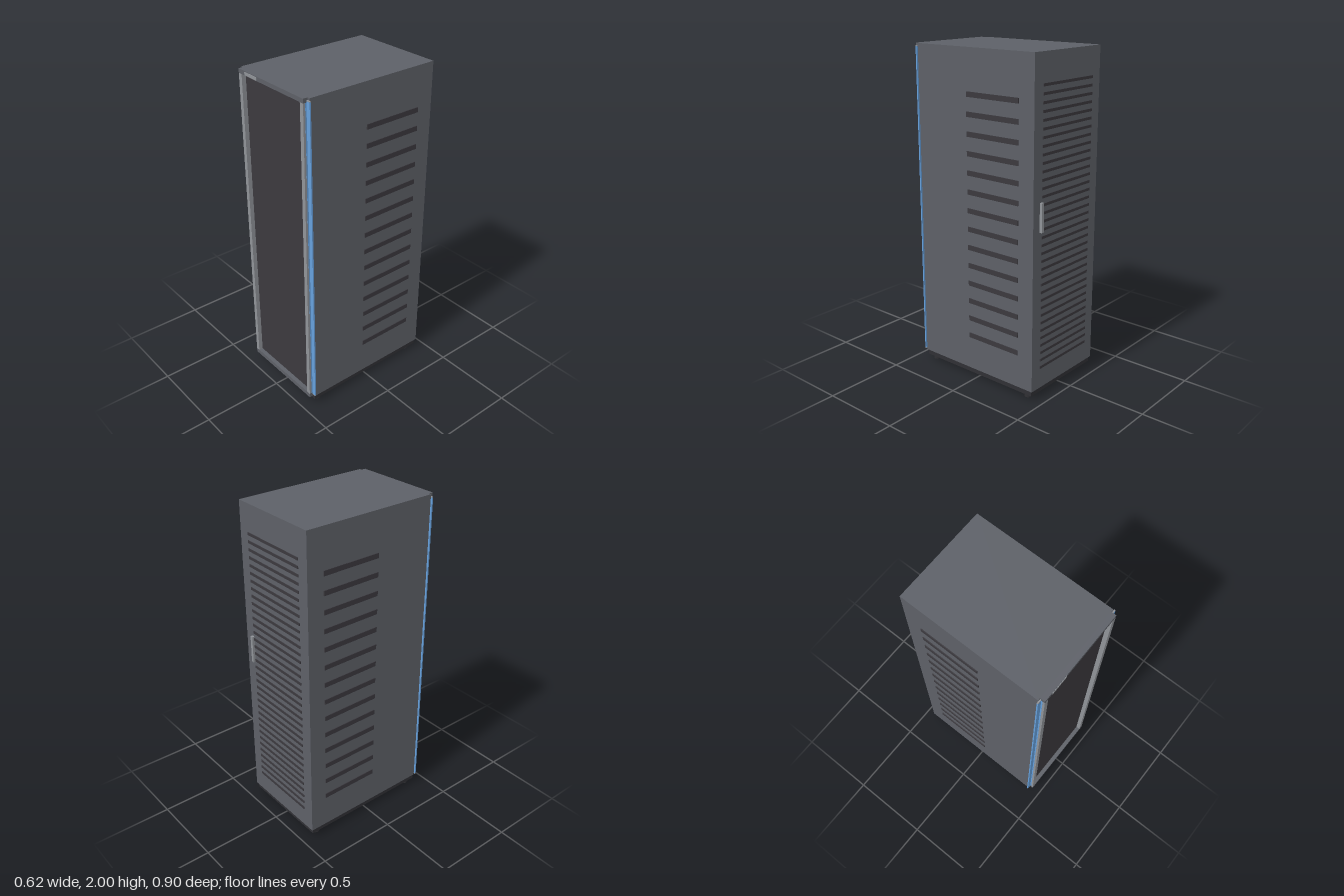
import * as THREE from 'three';

const material = (name, color) => {
  const m = new THREE.MeshStandardMaterial({ color });
  m.name = name;
  return m;
};

export function createModel() {
  const body = material('slate grey', 0x5d6067);
  const dark = material('charcoal', 0x3b393e);
  const base = material('near black', 0x303034);
  const metal = material('light grey', 0x909398);
  const blue = material('accent blue', 0x66a0dc);

  const model = new THREE.Group();
  model.name = 'serverCabinet';

  // Box given by its lower and upper limits on each axis
  const box = (name, mat, [x0, x1], [y0, y1], [z0, z1], parent = model) => {
    const mesh = new THREE.Mesh(new THREE.BoxGeometry(x1 - x0, y1 - y0, z1 - z0), mat);
    mesh.position.set((x0 + x1) / 2, (y0 + y1) / 2, (z0 + z1) / 2);
    mesh.name = name;
    parent.add(mesh);
  };
  // Same box on the left and right
  const pair = (name, mat, [x0, x1], y, z, parent = model) => {
    box(name + 'Left', mat, [x0, x1], y, z, parent);
    box(name + 'Right', mat, [-x1, -x0], y, z, parent);
  };
  const group = (name) => {
    const g = new THREE.Group();
    g.name = name;
    model.add(g);
    return g;
  };

  // Cabinet and plinth
  box('cabinet', body, [-0.298, 0.298], [0.06, 2], [-0.438, 0.42]);
  box('plinth', base, [-0.29, 0.29], [0.027, 0.06], [-0.428, 0.417]);

  // Levelling feet
  const feet = group('feet');
  for (const x of [-0.255, 0.255]) for (const z of [-0.378, 0.372]) {
    const foot = new THREE.Mesh(new THREE.CylinderGeometry(0.021, 0.021, 0.03, 16), base);
    foot.position.set(x, 0.015, z);
    foot.name = 'foot';
    feet.add(foot);
  }

  // Front door: bars and light rails around a recessed dark panel
  const door = group('frontDoor');
  box('topBar', body, [-0.282, 0.282], [1.975, 2], [0.42, 0.449], door);
  box('bottomBar', body, [-0.282, 0.282], [0.055, 0.083], [0.42, 0.449], door);
  pair('rail', metal, [0.256, 0.282], [0.083, 1.975], [0.42, 0.449], door);
  box('doorPanel', dark, [-0.256, 0.256], [0.083, 1.975], [0.418, 0.423], door);
  box('namePlate', metal, [-0.225, -0.115], [1.977, 1.996], [0.449, 0.4515], door);

  // Blue light strips beside the door, with a thin return along the rail and grey end caps
  const strips = group('lightStrips');
  pair('lightStrip', blue, [0.282, 0.308], [0.075, 1.982], [0.42, 0.428], strips);
  pair('stripReturn', blue, [0.278, 0.2825], [0.083, 1.975], [0.428, 0.436], strips);
  pair('stripTopCap', metal, [0.282, 0.308], [1.982, 1.987], [0.42, 0.428], strips);
  pair('stripBottomCap', metal, [0.282, 0.308], [0.07, 0.075], [0.42, 0.428], strips);

  // Side vents
  const sideVents = group('sideVents');
  for (let i = 0; i < 14; i++) {
    const y = 0.28 + i * 0.1125;
    pair('sideVent', dark, [0.296, 0.303], [y - 0.015, y + 0.015], [-0.333, 0.042], sideVents);
  }

  // Rear louvres
  const louvres = group('rearLouvres');
  const rows = 36;
  for (let i = 0; i < rows; i++) {
    const y = 0.192 + (i * 1.635) / (rows - 1);
    box('louvre', dark, [-0.225, 0.225], [y - 0.008, y + 0.008], [-0.442, -0.436], louvres);
  }

  // Rear handle
  box('rearHandle', metal, [0.224, 0.242], [1.02, 1.19], [-0.4535, -0.436]);

  return model;
}
